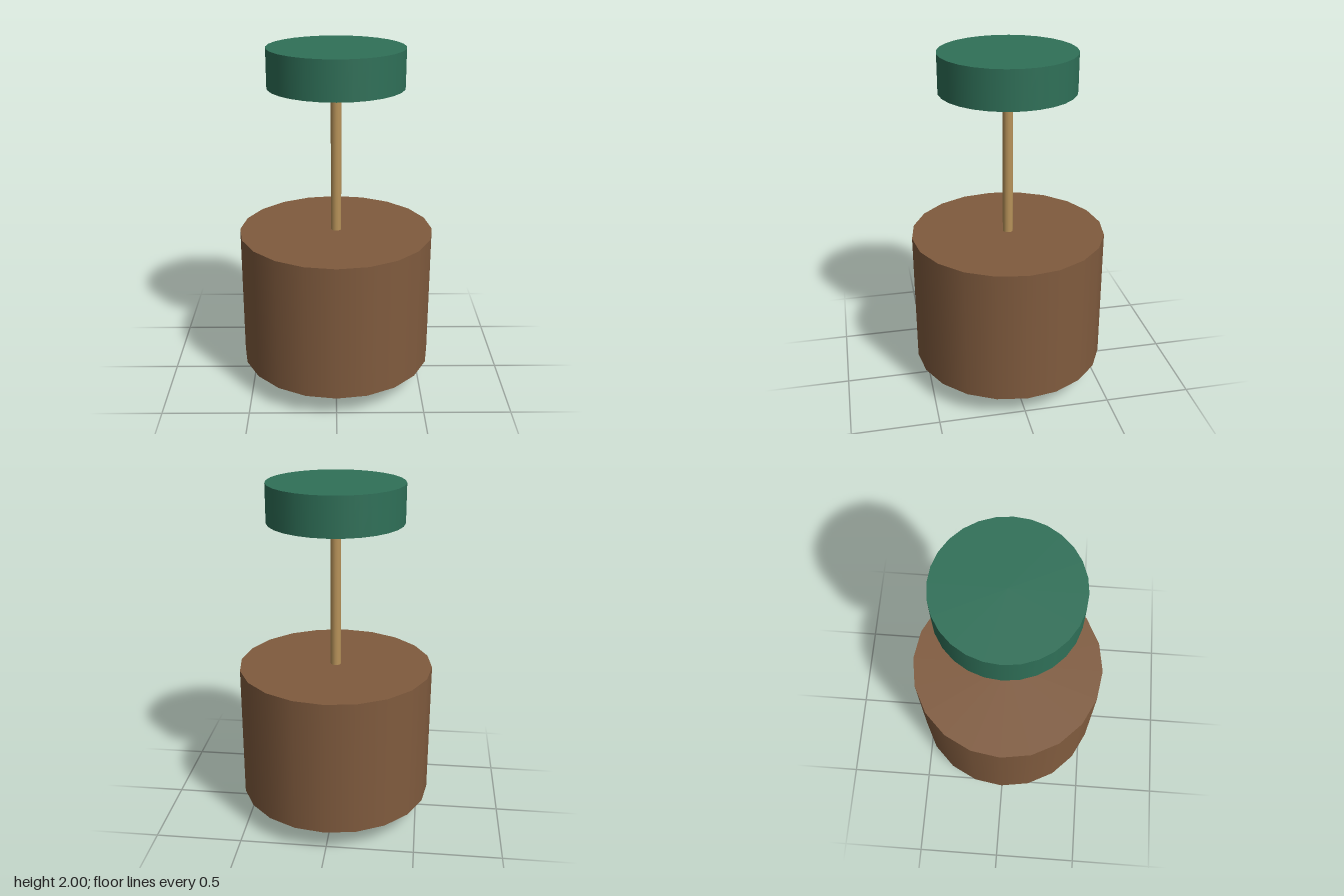
import * as THREE from 'three';

export function createModel() {
  const model = new THREE.Group();
  model.name = 'pendantLamp';

  const paint = (name, color) => {
    const m = new THREE.MeshStandardMaterial({ color });
    m.name = name;
    return m;
  };
  const green = paint('green', 0x2f7058);
  const brown = paint('brown', 0x805b3e);
  const brass = paint('brass', 0xb8935a);
  const amber = paint('amber', 0xc4965f);

  const add = (name, geometry, material, y) => {
    const mesh = new THREE.Mesh(geometry, material);
    mesh.name = name;
    mesh.position.y = y;
    model.add(mesh);
  };
  // Upright closed cylinder spanning two heights
  const drum = (name, radius, bottom, top, sides, material) =>
    add(name, new THREE.CylinderGeometry(radius, radius, top - bottom, sides), material, (bottom + top) / 2);

  // Ceiling mount, hanging rod and solid shade
  drum('canopy', 0.384, 1.782, 2, 28, green);
  drum('rod', 0.03, 0.9, 1.79, 12, brass);
  drum('shade', 0.563, 0.14, 0.937, 20, brown);

  // Bulb peeking out below the shade
  add('bulb', new THREE.SphereGeometry(0.218, 20, 14), amber, 0.22);

  return model;
}
